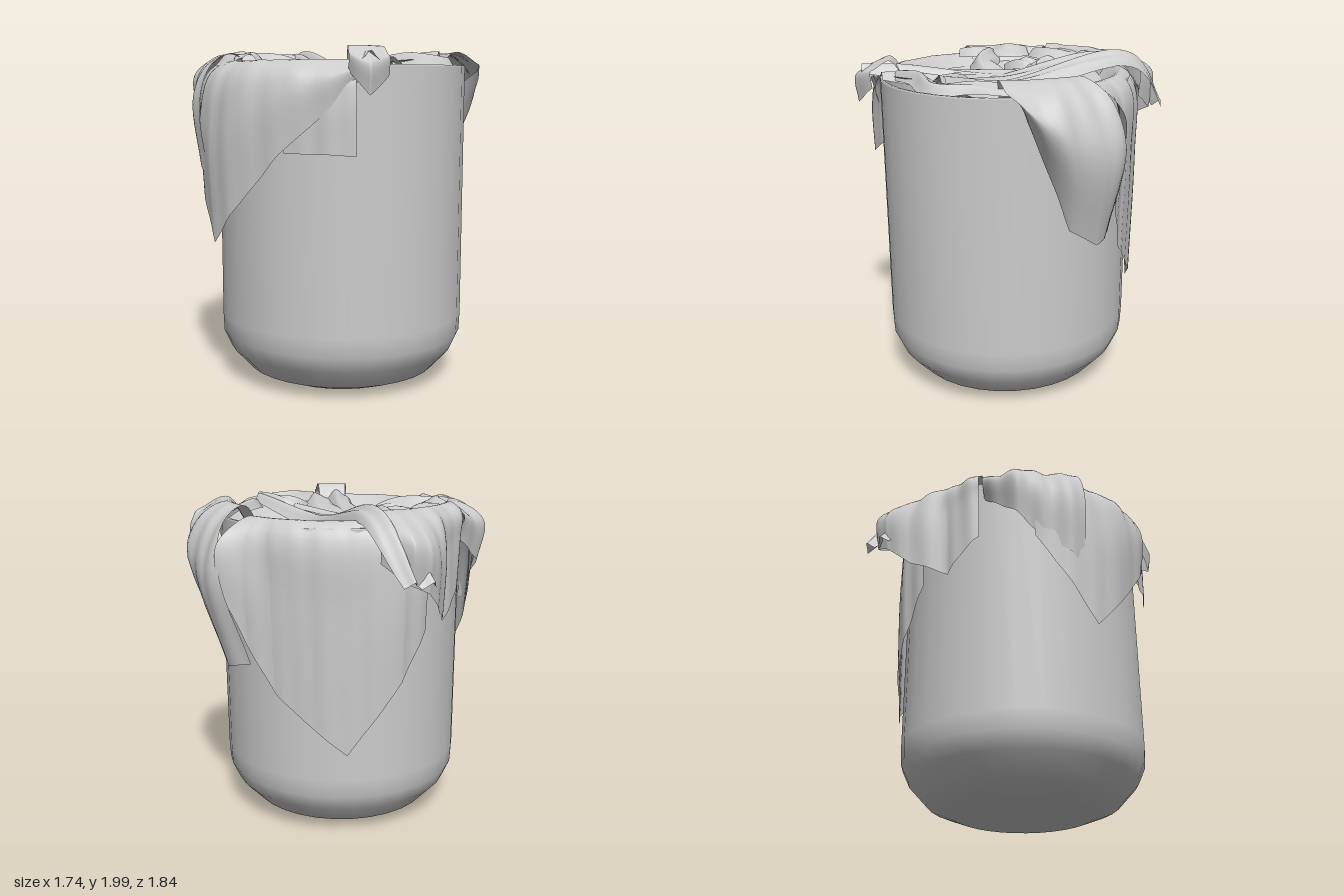
import * as THREE from 'three';

const CX = 0.14, CZ = 0.07, RIM = 1.88, DEG = Math.PI / 180;
const material = new THREE.MeshStandardMaterial({ color: 0xcccccc, side: THREE.DoubleSide });

// Smooth grid surface from a rule (u, v) -> [x, y, z]
function sheet(name, nu, nv, rule) {
  const pos = [], index = [];
  for (let i = 0; i <= nu; i++) for (let j = 0; j <= nv; j++) pos.push(...rule(i / nu, j / nv));
  for (let i = 0; i < nu; i++) for (let j = 0; j < nv; j++) {
    const a = i * (nv + 1) + j, b = a + nv + 1;
    index.push(a, a + 1, b, b, a + 1, b + 1);
  }
  const geo = new THREE.BufferGeometry();
  geo.setAttribute('position', new THREE.Float32BufferAttribute(pos, 3));
  geo.setIndex(index);
  geo.computeVertexNormals();
  const mesh = new THREE.Mesh(geo, material);
  mesh.name = name;
  return mesh;
}

const polar = (deg, r, y) => [CX + r * Math.sin(deg * DEG), y, CZ + r * Math.cos(deg * DEG)];
const gauss = (x, z, cx, cz, s) => Math.exp(-((x - cx) ** 2 + (z - cz) ** 2) / (s * s));

// Broad soft wrinkles
const wrinkle = (x, z) => 0.5 * Math.sin(9 * x + 5 * z + 2 * Math.sin(4 * z))
  + 0.3 * Math.sin(13 * z - 8 * x + 1.5 * Math.sin(6 * x));

// Linear blend between neighbouring columns
function blend(columns, u) {
  const t = u * (columns.length - 1), i = Math.min(columns.length - 2, Math.floor(t));
  return columns[i].map((v, k) => v + (columns[i + 1][k] - v) * (t - i));
}

// Cloth hanging over the rim; columns: [angle at rim, hem y, hem radius], slant turns the hem
function drape(name, columns, top, bulge, ripple, slant = 0) {
  return sheet(name, (columns.length - 1) * 12, 22, (u, v) => {
    const [angle, hem, r] = blend(columns, u);
    const drop = top - hem, mid = r + bulge;
    const p = new THREE.CatmullRomCurve3([
      new THREE.Vector3(0.58, RIM - 0.05, 0),
      new THREE.Vector3(0.68, top - 0.005, 0),
      new THREE.Vector3(Math.max(0.765, 0.74 + 0.5 * (mid - 0.74)), top - 0.04 - 0.05 * drop, 0),
      new THREE.Vector3(mid, top - 0.4 * drop, 0),
      new THREE.Vector3(r, hem, 0),
    ]).getPoint(v);
    const a = angle + slant * Math.max(0, v - 0.25);
    const wave = ripple * Math.min(1, v * 2) * (Math.sin(a * 0.28 + 2 * v) + 0.5 * Math.sin(a * 0.61 - 3 * v));
    return polar(a, p.x + wave, p.y + wave * 0.3);
  });
}

// Long fold: a soft arched ribbon with a wandering crest, swept along a path
function fold(name, points, width, height, taper = 0.5) {
  const curve = new THREE.CatmullRomCurve3(points.map(p => new THREE.Vector3(...p)));
  return sheet(name, 36, 14, (u, v) => {
    const p = curve.getPoint(u), t = curve.getTangent(u);
    const side = new THREE.Vector3(t.z, 0, -t.x).normalize();
    const up = new THREE.Vector3().crossVectors(t, side).normalize();
    const size = taper + (1 - taper) * Math.sin(Math.PI * u);
    const s = v * 2 - 1;
    const crest = Math.cos(s * Math.PI / 2) * (0.85 + 0.2 * Math.cos(s * 4.5 + 5 * u)) - 0.5;
    p.addScaledVector(side, width * size * (s * (1 + 0.15 * Math.sin(9 * u + s)) + 0.2 * Math.sin(7 * u)));
    p.addScaledVector(up, crest * height * size);
    return p.toArray();
  });
}

// Rolled fold following the rim from one angle to another
function rimRoll(name, from, to, r, y, width) {
  const points = [0, 1, 2, 3, 4].map(i =>
    polar(from + (to - from) * i / 4, r + 0.03 * Math.cos(i * Math.PI), y + 0.015 * (i % 2)));
  return fold(name, points, width, 0.08, 0.6);
}

export function createModel() {
  const model = new THREE.Group();

  // Bin: rounded bottom, straight wall, thin rim and inner wall
  const profile = [[0, 0.005], [0.43, 0.01], [0.58, 0.07], [0.69, 0.19], [0.735, 0.29], [0.74, 0.4],
    [0.74, 1.87], [0.74, RIM], [0.725, RIM], [0.725, 1.87], [0.72, 0.35], [0, 0.05]];
  const bin = new THREE.Mesh(
    new THREE.LatheGeometry(profile.map(p => new THREE.Vector2(...p)), 32), material);
  bin.name = 'bin';
  bin.position.set(CX, 0, CZ);
  bin.scale.z = 0.987;
  model.add(bin);

  // Cloth filling the mouth: deep pocket at the back, shallow one in front, pulled in from the right rim
  model.add(sheet('clothPocket', 80, 30, (u, v) => {
    const deg = u * 360 - 180;
    const pull = Math.exp(-(((deg - 100) / 34) ** 2));
    const [x, , z] = polar(deg, v * (0.72 - 0.13 * pull), 0);
    const edge = v ** 6;
    const y = RIM - 0.05 + 0.022 * wrinkle(x, z) * (1 - edge) + (0.06 + 0.03 * pull) * edge
      - 0.3 * gauss(x, z, 0.2, -0.32, 0.33) - 0.08 * gauss(x, z, 0.3, 0.45, 0.28)
      - 0.16 * gauss(x, z, -0.32, 0.22, 0.16);
    return [x, y, z];
  }));

  // Hanging flaps
  model.add(
    drape('frontFlap', [[-37, 1.43, 0.83], [-13, 0.89, 0.86], [20, 1.41, 0.82], [54, 1.84, 0.77]], 1.91, 0.015, 0.006),
    drape('frontCorner', [[20, 1.41, 0.765], [36, 1.41, 0.79], [49, 1.4, 0.8]], 1.89, 0, 0.006),
    drape('frontLeftFold', [[-60, 1.77, 0.75], [-45, 1.58, 0.83], [-33, 1.42, 0.84], [-18, 1.24, 0.86]], 1.95, 0.04, 0.014),
    drape('leftFlap', [[-62, 1.5, 0.75], [-78, 1.3, 0.76], [-92, 1.4, 0.87], [-101, 1.55, 0.98], [-108, 1.6, 0.98],
      [-116, 1.7, 0.83]], 1.97, 0.01, 0.01),
    drape('backLeftFlap', [[-92, 1.28, 0.77], [-105, 1, 0.8], [-128, 0.57, 0.76], [-160, 0.92, 0.76], [-171, 1.2, 0.83],
      [-177, 1.52, 0.93]], 1.92, 0.015, 0.006),
    drape('backStrip', [[-184, 1.08, 0.8], [-194, 1.04, 0.83], [-205, 1.15, 0.81], [-222, 1.76, 0.76]],
      1.97, 0.14, 0.012, 16),
    drape('rightCorner', [[46, 1.84, 0.79], [53, 1.72, 0.88], [62, 1.82, 0.78]], 1.98, 0.01, 0.006));

  // Rolled edges around the mouth
  model.add(
    rimRoll('rightInnerRoll', 66, 146, 0.61, 1.9, 0.07),
    rimRoll('leftRoll', -112, -58, 0.6, 1.92, 0.14),
    rimRoll('frontLeftRoll', -50, -12, 0.62, 1.92, 0.11));

  // Folds lying across the mouth
  model.add(
    fold('crossFoldBack', [[-0.84, 1.62, -0.27], [-0.55, 1.94, -0.25], [0.2, 1.84, -0.06], [0.72, 1.93, -0.11]], 0.09, 0.1),
    fold('crossFoldFront', [[-0.84, 1.6, -0.13], [-0.5, 1.92, -0.13], [0.15, 1.84, 0.08], [0.62, 1.89, -0.03]], 0.11, 0.1),
    fold('rightFold', [[0.82, 1.92, 0.57], [0.42, 1.88, 0.34], [-0.1, 1.84, 0.08]], 0.1, 0.09),
    fold('rightSmallFold', [[0.8, 1.9, 0.38], [0.5, 1.87, 0.24], [0.15, 1.84, 0.14]], 0.13, 0.07),
    fold('rightPeak', [[0.5, 1.87, 0.1], [0.54, 1.92, -0.04], [0.74, 1.94, -0.1]], 0.06, 0.08),
    fold('frontInnerFold', [[-0.15, 1.92, 0.6], [0.03, 1.9, 0.42], [0.06, 1.84, 0.2]], 0.09, 0.1));

  // Crumpled cloth in the left hollow: small curls turned every which way
  for (let i = 0; i < 5; i++) {
    const a = i * 2.4, dx = 0.13 * Math.cos(a), dz = 0.13 * Math.sin(a);
    const x = -0.28 + 0.08 * Math.sin(a), z = 0.25 + 0.1 * Math.cos(a);
    model.add(fold('crumple' + (i + 1), [
      [x - dx, 1.83, z - dz], [x + dz * 0.4, 1.86 + 0.01 * i, z - dx * 0.4], [x + dx, 1.84, z + dz]], 0.06, 0.08));
  }
  return model;
}
